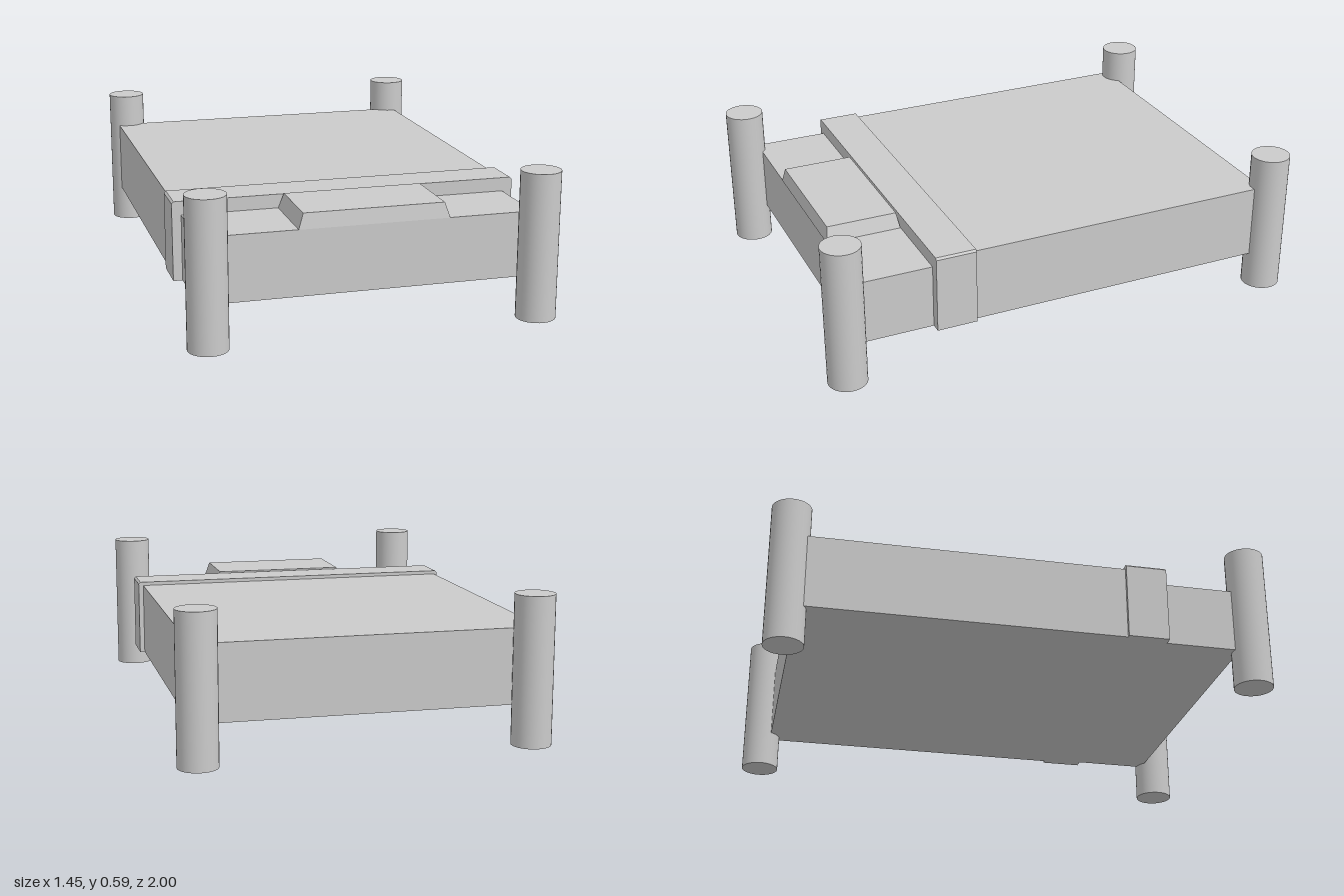
import * as THREE from 'three';

const material = new THREE.MeshStandardMaterial({ color: 0xcccccc });

function addMesh(group, name, geometry) {
  const mesh = new THREE.Mesh(geometry, material);
  mesh.name = name;
  group.add(mesh);
  return mesh;
}

// Box given by its limits on each axis
function block([x0, x1], [y0, y1], [z0, z1]) {
  return new THREE.BoxGeometry(x1 - x0, y1 - y0, z1 - z0)
    .translate((x0 + x1) / 2, (y0 + y1) / 2, (z0 + z1) / 2);
}

// Block whose top face is drawn in by insetX and insetZ
function taperedBlock(xs, ys, zs, insetX, insetZ) {
  const geometry = block(xs, ys, zs);
  const pos = geometry.attributes.position;
  const cx = (xs[0] + xs[1]) / 2, cz = (zs[0] + zs[1]) / 2;
  for (let i = 0; i < pos.count; i++) {
    if (pos.getY(i) < (ys[0] + ys[1]) / 2) continue;
    pos.setX(i, pos.getX(i) - Math.sign(pos.getX(i) - cx) * insetX);
    pos.setZ(i, pos.getZ(i) - Math.sign(pos.getZ(i) - cz) * insetZ);
  }
  geometry.computeVertexNormals();
  return geometry;
}

export function createModel() {
  const bed = new THREE.Group();
  bed.name = 'bed';

  // Four round corner posts
  const postGeometry = new THREE.CylinderGeometry(0.078, 0.078, 0.587, 32);
  for (const x of [-0.645, 0.645]) {
    for (const z of [-0.922, 0.922]) {
      addMesh(bed, 'cornerPost', postGeometry).position.set(x, 0.2935, z);
    }
  }

  // Mattress end under the pillow, and the blanket covering the rest
  addMesh(bed, 'mattress', block([-0.668, 0.642], [0.15, 0.41], [0.565, 0.868]));
  addMesh(bed, 'blanket', block([-0.69, 0.662], [0.15, 0.45], [-0.885, 0.4]));

  // Turned-down blanket band with chamfered upper edges
  const left = -0.704, right = 0.682, top = 0.465, cut = 0.008;
  const outline = new THREE.Shape([
    [left, 0.15], [right, 0.15], [right, top - cut],
    [right - cut, top], [left + cut, top], [left, top - cut],
  ].map(([x, y]) => new THREE.Vector2(x, y)));
  const fold = new THREE.ExtrudeGeometry(outline, { depth: 0.165, bevelEnabled: false });
  addMesh(bed, 'blanketFold', fold.translate(0, 0, 0.4));

  // Pillow with sloping sides
  addMesh(bed, 'pillow', taperedBlock([-0.288, 0.305], [0.41, 0.47], [0.566, 0.87], 0.02, 0.01));

  return bed;
}
